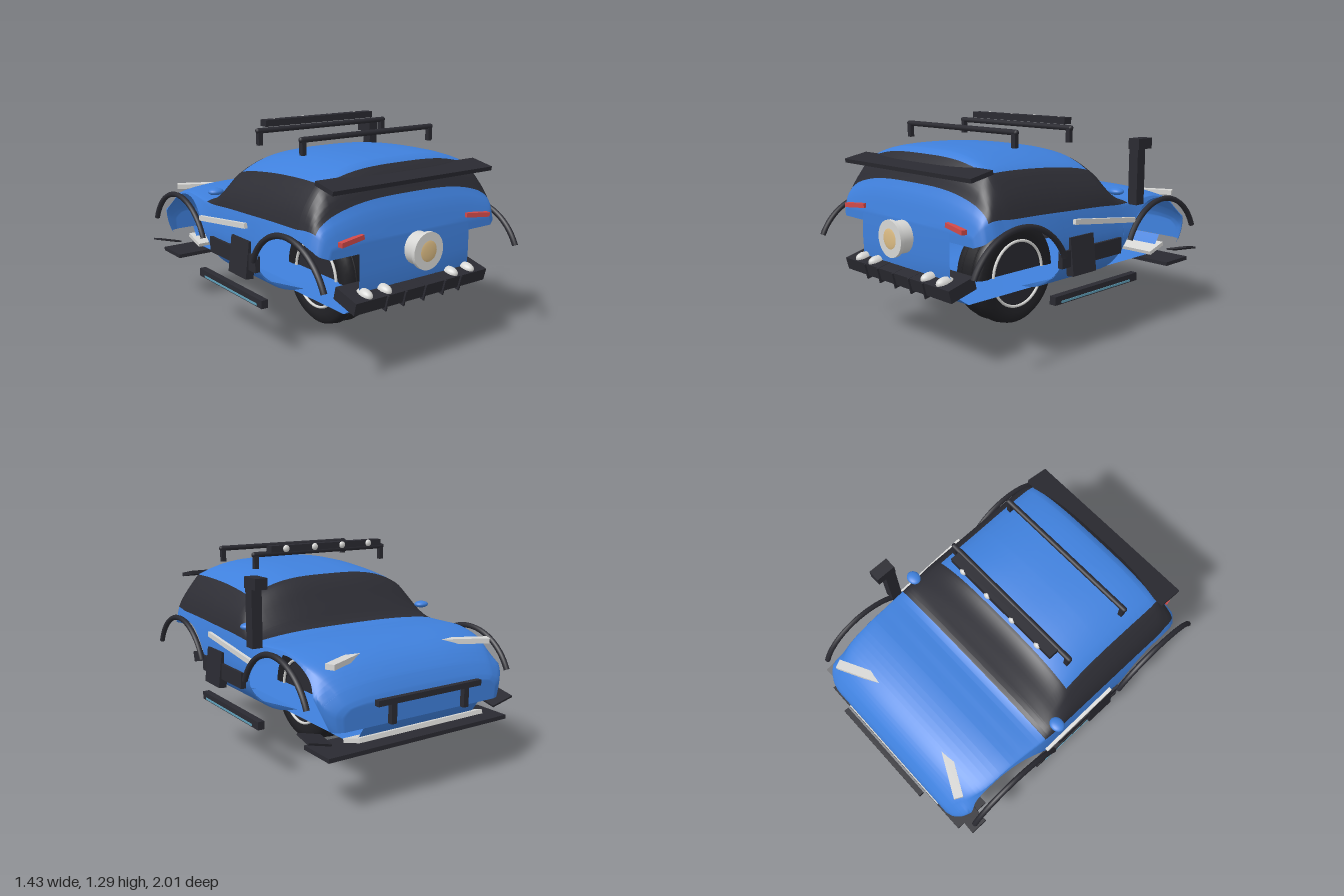
import * as THREE from 'three';

const mat = (name, color, side = THREE.FrontSide) => {
  const m = new THREE.MeshStandardMaterial({ color, side });
  m.name = name;
  return m;
};

// Body stations: z, top height, roof edge x/y, belt line x/y, widest x
const ST = [
  [-0.94, 0.58, 0.38, 0.575, 0.48, 0.56, 0.52], [-0.925, 0.62, 0.4, 0.61, 0.52, 0.585, 0.57],
  [-0.88, 0.69, 0.44, 0.67, 0.55, 0.64, 0.62], [-0.8, 0.76, 0.47, 0.74, 0.58, 0.71, 0.65],
  [-0.7, 0.805, 0.49, 0.785, 0.61, 0.757, 0.665], [-0.54, 0.83, 0.5, 0.815, 0.62, 0.795, 0.68],
  [-0.4, 0.825, 0.52, 0.81, 0.63, 0.795, 0.68], [-0.25, 0.83, 0.54, 0.81, 0.645, 0.79, 0.675],
  [-0.15, 0.945, 0.56, 0.87, 0.65, 0.79, 0.67], [-0.07, 1.05, 0.555, 0.95, 0.65, 0.795, 0.67],
  [0, 1.1, 0.54, 1.0, 0.65, 0.8, 0.67], [0.25, 1.14, 0.53, 1.035, 0.65, 0.81, 0.67],
  [0.5, 1.15, 0.53, 1.05, 0.65, 0.82, 0.68], [0.7, 1.14, 0.53, 1.05, 0.65, 0.825, 0.69],
  [0.755, 1.11, 0.525, 1.04, 0.645, 0.83, 0.685], [0.81, 1.04, 0.53, 0.97, 0.64, 0.83, 0.675],
  [0.84, 0.96, 0.53, 0.9, 0.63, 0.82, 0.665], [0.875, 0.87, 0.53, 0.83, 0.61, 0.79, 0.65],
  [0.9, 0.76, 0.5, 0.75, 0.57, 0.735, 0.6],
];
const ARCHES = [-0.54, 0.675], ARCH_R = 0.35, ARCH_Y = 0.43, FLOOR = 0.335;

// Smooth interpolation of the station values
function stationAt(z) {
  let i = 0;
  while (i < ST.length - 2 && z > ST[i + 1][0]) i++;
  const slope = (n, k) => {
    const a = ST[Math.max(n - 1, 0)], b = ST[Math.min(n + 1, ST.length - 1)];
    return (b[k] - a[k]) / (b[0] - a[0]);
  };
  const h = ST[i + 1][0] - ST[i][0], t = (z - ST[i][0]) / h, t2 = t * t, t3 = t2 * t;
  return ST[i].map((v, k) => k === 0 ? z :
    (2 * t3 - 3 * t2 + 1) * v + (t3 - 2 * t2 + t) * h * slope(i, k) +
    (3 * t2 - 2 * t3) * ST[i + 1][k] + (t3 - t2) * h * slope(i + 1, k));
}

// Lower edge of the side panels, cut by the wheel arches
function bottomAt(z) {
  for (const c of ARCHES) {
    const d = Math.abs(z - c);
    if (d <= ARCH_R) return ARCH_Y + Math.sqrt(ARCH_R * ARCH_R - d * d);
  }
  return z < -0.8 ? 0.45 : FLOOR;
}

const NA = 10, NB = 6, NC = 14;
function halfSection(z) {
  const [, top, x1, y1, x2, y2, xm] = stationAt(z), pts = [];
  for (let i = 0; i <= NA; i++) {
    const t = i / NA;
    pts.push([x1 * t, top - (top - y1) * t ** 3.2]);
  }
  for (let i = 1; i <= NB; i++) {
    const t = i / NB;
    pts.push([x1 + (x2 - x1) * t + 0.02 * Math.sin(Math.PI * t), y1 + (y2 - y1) * t]);
  }
  const b = Math.min(bottomAt(z), y2 - 0.01), ym = Math.min(0.62, y2 - 0.04);
  for (let i = 1; i <= NC; i++) {
    const y = b + (y2 - b) * (1 - i / NC) ** 1.6;
    const x = y > ym ? xm + (x2 - xm) * ((y - ym) / (y2 - ym)) ** 1.5
      : 0.34 + (xm - 0.34) * Math.sqrt(Math.max(0, 1 - ((ym - y) / (0.62 - FLOOR)) ** 2));
    pts.push([x, y]);
  }
  return pts;
}

// Lofted shell; group 0 is paint, group 1 is glass
function bodyGeometry() {
  const zs = [];
  ST.forEach((s, i) => {
    zs.push(s[0]);
    if (i < ST.length - 1) for (let k = 1; k < 4; k++) zs.push(s[0] + (ST[i + 1][0] - s[0]) * k / 4);
  });
  for (const c of ARCHES) {
    for (let k = 0; k <= 28; k++) zs.push(c + ARCH_R * Math.cos(Math.PI * k / 28) * 0.999999);
    zs.push(c + ARCH_R + 1e-4, c - ARCH_R - 1e-4);
  }
  const cols = zs.filter(z => z <= 0.9).sort((a, b) => a - b).filter((z, i, a) => !i || z - a[i - 1] > 2e-5);
  const H = NA + NB + NC + 1, N = 2 * H - 1, pos = [], paint = [], glass = [];
  for (const z of cols) {
    const half = halfSection(z);
    for (let j = H - 1; j >= 0; j--) pos.push(half[j][0], half[j][1], z);
    for (let j = 1; j < H; j++) pos.push(-half[j][0], half[j][1], z);
  }
  for (let c = 0; c < cols.length - 1; c++) {
    const z = (cols[c] + cols[c + 1]) / 2;
    for (let j = 0; j < N - 1; j++) {
      const k = j < H - 1 ? H - 2 - j : j - H + 1;
      const inCabin = z > -0.25 && z < 0.84;
      const isGlass = inCabin && (k < NA ? z < 0 || z > 0.755 : k < NA + NB);
      const a = c * N + j, d = a + N;
      (isGlass ? glass : paint).push(a, a + 1, d, a + 1, d + 1, d);
    }
  }
  // nose and tail closing faces
  const last = (cols.length - 1) * N;
  for (let j = 0; j < H - 1; j++) {
    const a = j, b = j + 1, c = N - 2 - j, d = N - 1 - j;
    paint.push(a, c, b, a, d, c, last + a, last + b, last + c, last + a, last + c, last + d);
  }
  const g = new THREE.BufferGeometry();
  g.setAttribute('position', new THREE.Float32BufferAttribute(pos, 3));
  g.setIndex([...paint, ...glass]);
  g.addGroup(0, paint.length, 0);
  g.addGroup(paint.length, glass.length, 1);
  g.computeVertexNormals();
  return g;
}

export function createModel() {
  const car = new THREE.Group();
  car.name = 'car';
  const blue = mat('blue paint', 0x3f80dc, THREE.DoubleSide);
  const glass = mat('dark glass', 0x2d2d34, THREE.DoubleSide);
  const black = mat('black trim', 0x2a2a31), rubber = mat('tyre rubber', 0x1f1f23);
  const white = mat('pale lamp', 0xd6d6d4), red = mat('red lamp', 0xd04a4a);
  const tan = mat('tan lens', 0xdcbc84), teal = mat('teal accent', 0x5f9fb8);

  const add = (name, geo, m, x = 0, y = 0, z = 0, rx = 0, ry = 0, rz = 0) => {
    const mesh = new THREE.Mesh(geo, m);
    mesh.name = name;
    mesh.position.set(x, y, z);
    mesh.rotation.set(rx, ry, rz);
    car.add(mesh);
    return mesh;
  };
  const box = (name, m, w, h, d, ...at) => add(name, new THREE.BoxGeometry(w, h, d), m, ...at);
  const ball = (name, m, r, sx, sy, sz, ...at) =>
    add(name, new THREE.SphereGeometry(r, 20, 14).scale(sx, sy, sz), m, ...at);

  // body shell, floor and rear apron
  add('bodyShell', bodyGeometry(), [blue, glass]);
  const path = [[0.74, 0.9], [0.6, 0.905], [0.46, 0.9], [0.4, 0.87], [0.335, 0.78], [0.335, -0.8], [0.37, -0.88], [0.45, -0.935]];
  const floor = new THREE.PlaneGeometry(0.8, 1, 1, path.length - 1);
  path.forEach(([y, z], i) => {
    for (const k of [0, 1]) floor.attributes.position.setXYZ(2 * i + k, k ? 0.4 : -0.4, y, z);
  });
  floor.computeVertexNormals();
  add('floorAndApron', floor, blue);

  // single central wheel
  const tyre = [[0.2, -0.1], [0.25, -0.12], [0.295, -0.115], [0.315, -0.095], [0.32, -0.06],
    [0.32, 0.06], [0.315, 0.095], [0.295, 0.115], [0.25, 0.12], [0.2, 0.1]].map(p => new THREE.Vector2(...p));
  add('tyre', new THREE.LatheGeometry(tyre, 48).rotateZ(-Math.PI / 2), rubber, 0, 0.325, 0.135);
  add('wheelDisc', new THREE.CylinderGeometry(0.21, 0.21, 0.2, 40).rotateZ(Math.PI / 2), black, 0, 0.325, 0.135);
  for (const s of [-1, 1]) {
    add('treadRib', new THREE.TorusGeometry(0.317, 0.007, 6, 48).rotateY(Math.PI / 2), rubber, 0.045 * s, 0.325, 0.135);
    add('rimRing', new THREE.TorusGeometry(0.207, 0.009, 8, 48).rotateY(Math.PI / 2), white, 0.115 * s, 0.325, 0.135);
  }
  box('brakeAccent', teal, 0.03, 0.04, 0.08, 0.115, 0.3, 0.135);

  // parts that repeat on both sides
  for (const s of [-1, 1]) {
    for (const c of ARCHES) {
      const arc = new THREE.TorusGeometry(0.355, 0.017, 8, 36, 2.3).rotateZ(0.42).rotateY(Math.PI / 2);
      add('archTrim', arc, black, 0.697 * s, ARCH_Y, c);
    }
    ball('mirror', blue, 0.05, 0.95, 0.42, 0.8, 0.635 * s, 0.868, -0.155);
    box('sideStrip', white, 0.02, 0.03, 0.535, 0.682 * s, 0.722, -0.005, -0.12);
    box('sideBox', black, 0.05, 0.215, 0.19, 0.67 * s, 0.56, 0.195, 0, 0, 0.12 * s);
    box('sideRail', black, 0.03, 0.095, 0.51, 0.672 * s, 0.555, 0.105);
    box('runningBoard', black, 0.042, 0.048, 0.72, 0.655 * s, 0.332, 0.04);
    box('runningBoardAccent', teal, 0.006, 0.012, 0.6, 0.677 * s, 0.32, 0.05);
    box('headlight', white, 0.29, 0.03, 0.055, 0.42 * s, 0.772, -0.78, 0, 0.47 * s, 0);
    box('taillight', red, 0.165, 0.026, 0.03, 0.457 * s, 0.78, 0.907, 0, -0.15 * s, -0.08 * s);
    box('canard', black, 0.15, 0.012, 0.11, 0.64 * s, 0.41, -0.845, -0.2, 0, 0.27 * s);
    box('pushBarPost', black, 0.035, 0.13, 0.03, 0.25 * s, 0.525, -0.98);
    for (const x of [0.245, 0.375]) ball('bumperLamp', white, 0.034, 1, 1, 1.7, x * s, 0.48, 0.915);
    for (const z of [0.065, 0.495]) box('rackPost', black, 0.028, 0.08, 0.028, 0.46 * s, 1.195, z);
  }

  // roof rack and light bar
  for (const z of [0.065, 0.495])
    add('rackBar', new THREE.CapsuleGeometry(0.016, 0.94, 4, 10).rotateZ(Math.PI / 2), black, 0, 1.238, z);
  box('lightBar', black, 0.8, 0.038, 0.06, 0, 1.272, 0.012);
  for (const x of [-0.3, -0.1, 0.1, 0.3]) ball('roofLamp', white, 0.021, 1, 1, 0.7, x, 1.272, -0.018);

  // spoiler and snorkel
  box('spoiler', black, 1.14, 0.024, 0.15, 0, 1.047, 0.825, 0.2);
  box('snorkelPipe', black, 0.062, 0.35, 0.07, 0.672, 0.955, -0.295);
  box('snorkelHead', black, 0.074, 0.062, 0.125, 0.672, 1.138, -0.322);

  // nose: splitter, skid plate, push bar
  box('splitter', black, 1.24, 0.024, 0.23, 0, 0.322, -0.83);
  box('skidPlate', white, 0.86, 0.025, 0.15, 0, 0.368, -0.87, 0.3);
  box('pushBar', black, 0.71, 0.032, 0.032, 0, 0.585, -0.982);

  // tail: round lamp and ribbed bumper
  const drum = r => new THREE.CylinderGeometry(r, r, 1, 40).rotateX(Math.PI / 2);
  add('lampDrum', drum(0.092), white, 0, 0.665, 0.9).scale.z = 0.16;
  add('lampFlange', drum(0.105), white, 0, 0.665, 0.983).scale.z = 0.022;
  ball('lampLens', tan, 0.064, 1, 1, 0.15, 0, 0.665, 0.99);
  box('rearBumper', black, 0.96, 0.072, 0.175, 0, 0.457, 0.885, 0.25);
  for (const x of [-0.27, -0.145, 0, 0.145, 0.27]) box('bumperRib', black, 0.009, 0.09, 0.18, x, 0.447, 0.892, 0.25);
  return car;
}
